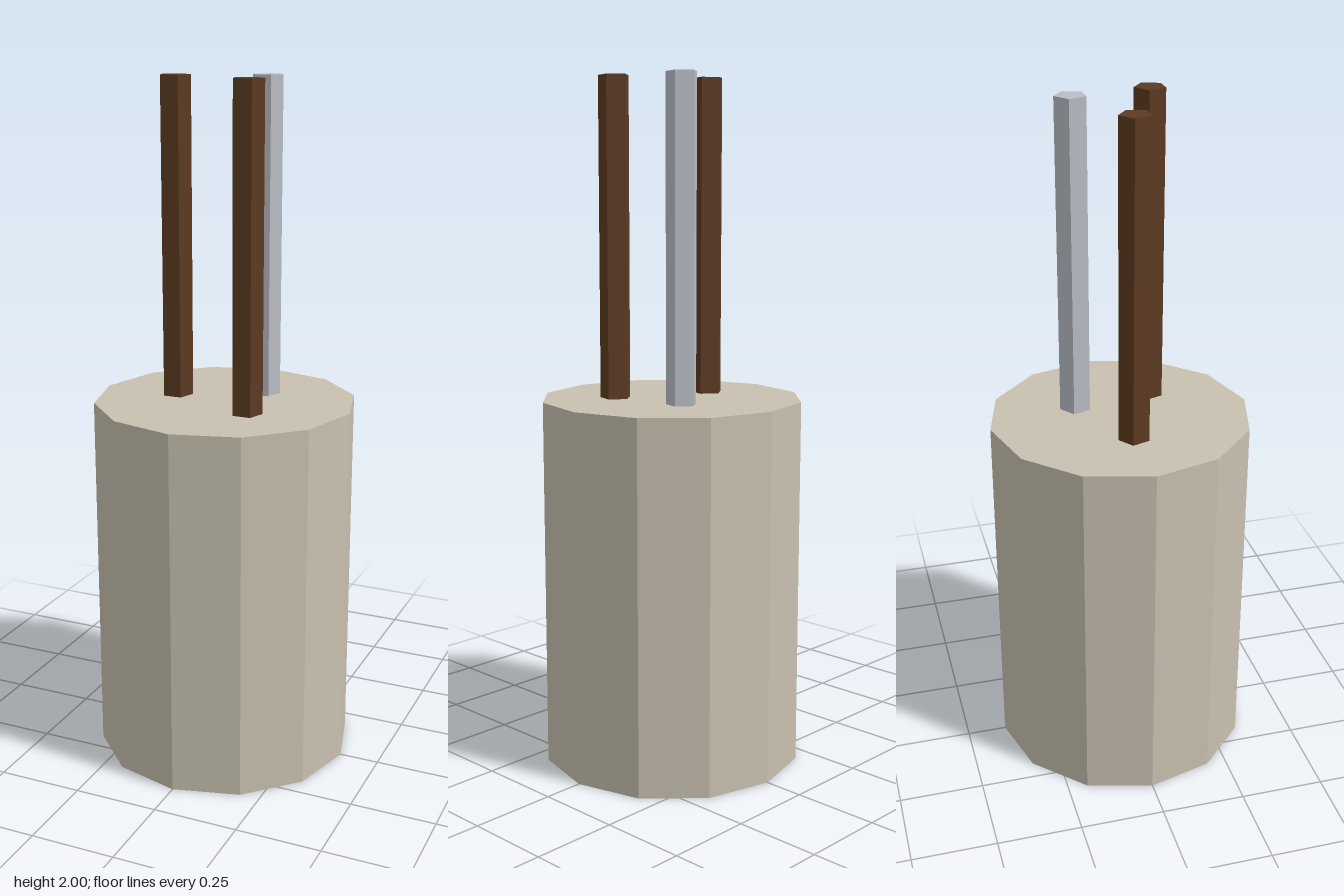
import * as THREE from 'three';

const CUP_RADIUS = 0.383, CUP_HEIGHT = 1.08, TOP = 2;

export function createModel() {
  const flat = (name, color) => {
    const m = new THREE.MeshStandardMaterial({ color, flatShading: true });
    m.name = name;
    return m;
  };
  const stone = flat('warm grey', 0xc8c0b0);
  const brown = flat('dark brown', 0x5c3a21);
  const silver = flat('silver grey', 0xb8bcc4);

  const model = new THREE.Group();
  model.name = 'penHolder';

  // Upright prism from y0 to y1, with one corner pointing to the back
  const prism = (name, radius, sides, y0, y1, material, x = 0, z = 0) => {
    const geometry = new THREE.CylinderGeometry(radius, radius, y1 - y0, sides);
    geometry.rotateY(Math.PI);
    const mesh = new THREE.Mesh(geometry, material);
    mesh.name = name;
    mesh.position.set(x, (y0 + y1) / 2, z);
    model.add(mesh);
  };

  // Twelve-sided solid cup
  prism('cup', CUP_RADIUS, 12, 0, CUP_HEIGHT, stone);

  // Five-sided sticks standing in the cup, sunk slightly into its top
  const sticks = [
    ['leftStick', 0.115, 0.115, brown],
    ['rightStick', -0.154, 0, brown],
    ['backStick', 0.077, -0.115, silver],
  ];
  for (const [name, x, z, material] of sticks) {
    prism(name, 0.046, 5, CUP_HEIGHT - 0.05, TOP, material, x, z);
  }
  return model;
}
